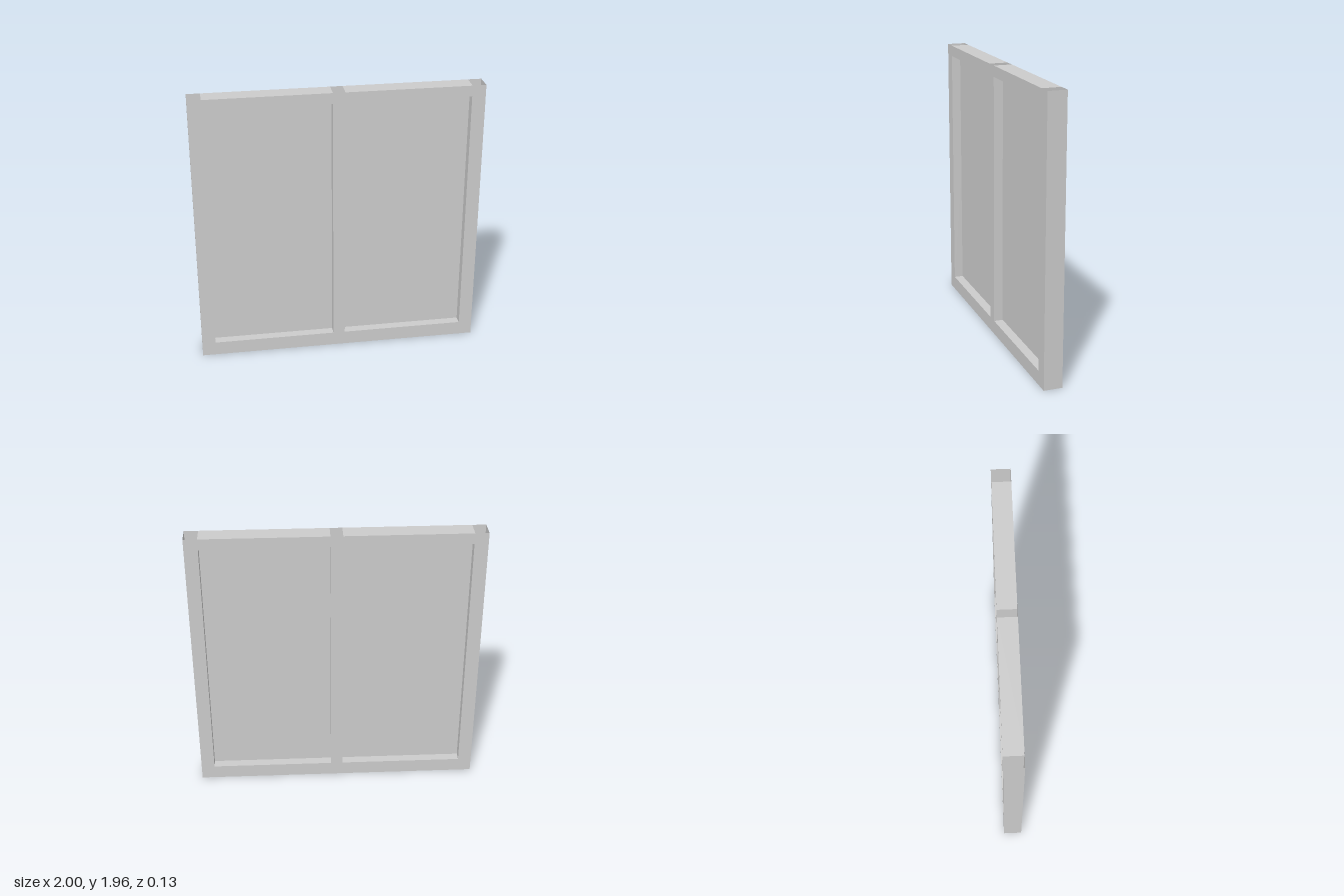
import * as THREE from 'three';

const H = 1.957, D = 0.13;                 // overall height and depth
const IN = 0.042, OUT = 0.906;             // opening edges, measured from the centre line
const LOW = 0.1, HIGH = 1.88;              // opening sill and head

export function createModel() {
  const group = new THREE.Group();
  const material = new THREE.MeshStandardMaterial({ color: 0xcccccc, side: THREE.DoubleSide });

  const add = (name, geometry, x = 0, y = 0, z = 0) => {
    const mesh = new THREE.Mesh(geometry, material);
    mesh.name = name;
    mesh.position.set(x, y, z);
    group.add(mesh);
  };
  // Sheet facing up (dir 1) or down (dir -1)
  const level = (name, x0, x1, y, dir) =>
    add(name, new THREE.PlaneGeometry(x1 - x0, D).rotateX(-dir * Math.PI / 2), (x0 + x1) / 2, y);
  // Sheet facing +x (dir 1) or -x (dir -1)
  const upright = (name, x, y0, y1, dir) =>
    add(name, new THREE.PlaneGeometry(D, y1 - y0).rotateY(dir * Math.PI / 2), x, (y0 + y1) / 2);
  const rect = (Type, x0, y0, x1, y1) => new Type([
    new THREE.Vector2(x0, y0), new THREE.Vector2(x1, y0),
    new THREE.Vector2(x1, y1), new THREE.Vector2(x0, y1)]);

  // Front and back faces of the hollow frame, with two openings
  const face = rect(THREE.Shape, -1, 0, 1, H);
  for (const [a, b] of [[-OUT, -IN], [IN, OUT]]) face.holes.push(rect(THREE.Path, a, LOW, b, HIGH));
  add('frameFront', new THREE.ShapeGeometry(face), 0, 0, D / 2);
  add('frameBack', new THREE.ShapeGeometry(face).rotateY(Math.PI), 0, 0, -D / 2);

  level('frameBottom', -1, 1, 0, -1);

  for (const s of [1, -1]) {
    const side = s > 0 ? 'left' : 'right';
    const a = s > 0 ? IN : -OUT, b = s > 0 ? OUT : -IN;
    upright(side + 'OuterSide', s, 0, H, s);
    // Top rail cover; the hollow posts stay open at the top
    level(side + 'TopCover', a, b, H, 1);
    // Reveals around the opening
    level(side + 'Sill', a, b, LOW, 1);
    level(side + 'Head', a, b, HIGH, -1);
    upright(side + 'RevealA', a, LOW, HIGH, 1);
    upright(side + 'RevealB', b, LOW, HIGH, -1);
    // Thin pane in the middle of the depth
    add(side + 'Pane', new THREE.PlaneGeometry(b - a, HIGH - LOW), (a + b) / 2, (LOW + HIGH) / 2, 0);
  }
  return group;
}
